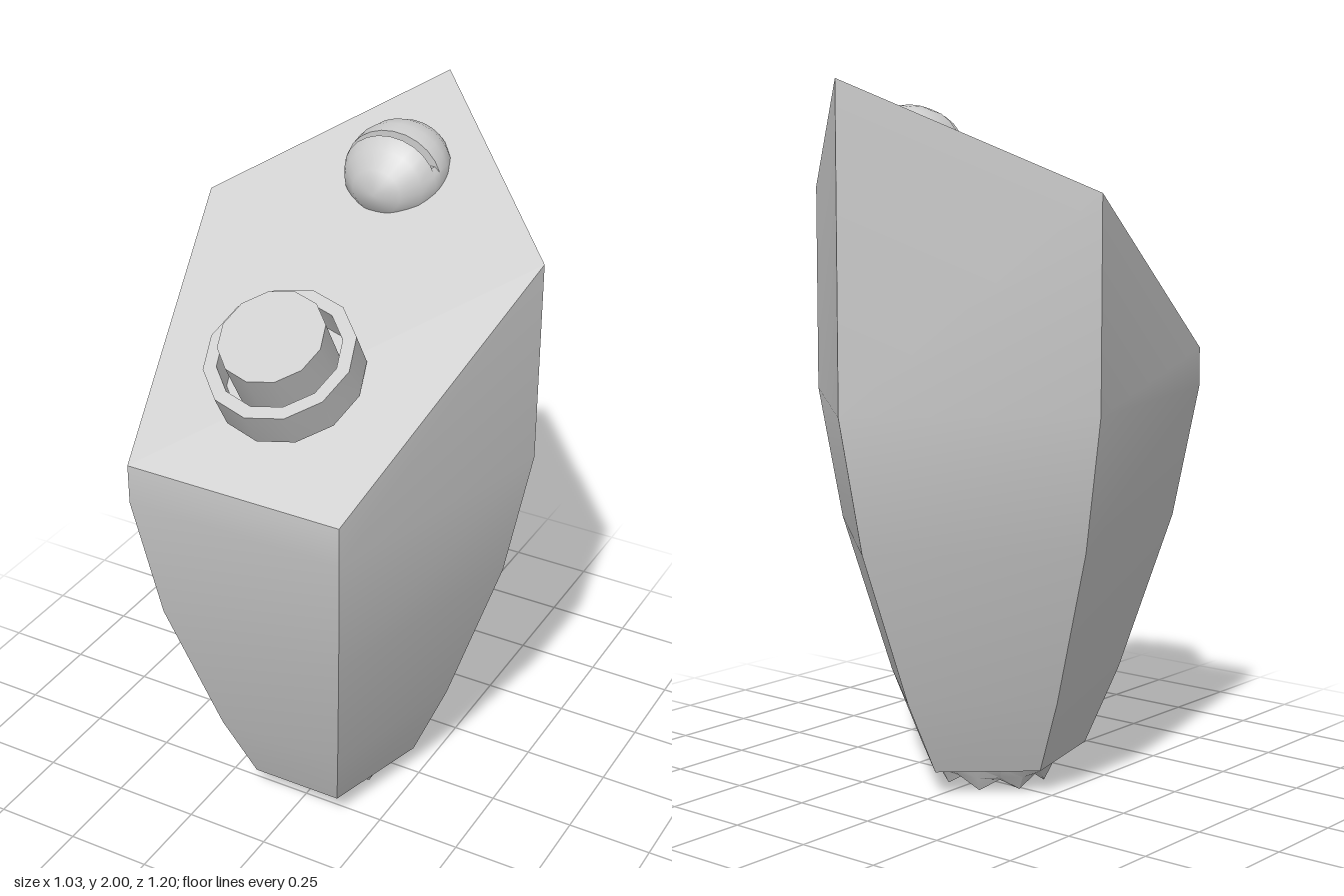
import * as THREE from 'three';
import { toCreasedNormals, mergeGeometries } from 'three/addons/utils/BufferGeometryUtils.js';

const material = new THREE.MeshStandardMaterial({ color: 0xcccccc, side: THREE.DoubleSide });

function part(name, geometry, parent) {
  const mesh = new THREE.Mesh(geometry, material);
  mesh.name = name;
  parent.add(mesh);
  return mesh;
}

const lathe = (points, segments, phi = 0) =>
  new THREE.LatheGeometry(points.map(p => new THREE.Vector2(...p)), segments, phi);

function meshFrom(points, index) {
  const g = new THREE.BufferGeometry();
  g.setAttribute('position', new THREE.Float32BufferAttribute(points.flat(), 3));
  g.setIndex(index);
  g.computeVertexNormals();
  return g;
}

// Tapering five-sided body with a sloped top
function bodyGeometry() {
  const corners = [[-0.33, 0.6], [0.31, 0.6], [0.515, -0.14], [0, -0.6], [-0.515, -0.14]];
  const levels = [[0.07, 0.43], [0.29, 0.6], [0.74, 0.87], [1.12, 1]]; // height, scale
  const midZ = 0.074;
  const columns = corners.map(([x, z]) => [
    ...levels.map(([y, s]) => [x * s, y, midZ + (z - midZ) * s]),
    [x, 1.6175 - 0.6375 * z, z],
  ]);
  const n = levels.length + 1;
  // each side is smooth along its height and sharp at its corners
  const pieces = columns.map((a, i) => {
    const b = columns[(i + 1) % 5];
    const index = [];
    for (let k = 0; k < n - 1; k++) index.push(k, n + k, n + k + 1, k, n + k + 1, k + 1);
    return meshFrom([...a, ...b], index);
  });
  pieces.push(meshFrom(columns.map(c => c[n - 1]), [0, 1, 2, 0, 2, 3, 0, 3, 4]));
  pieces.push(meshFrom(columns.map(c => c[0]), [0, 2, 1, 0, 3, 2, 0, 4, 3]));
  return mergeGeometries(pieces);
}

// Flattened dome, turned about z, with a flat-bottomed slot across it
function screwGeometry() {
  const slot = [0.18, 0.32];
  const ring = z => [Math.sqrt(Math.max(0, 1 - z * z)), z];
  const zs = [-1, -0.87, -0.66, -0.4, -0.1, 0.18, 0.18, 0.32, 0.32, 0.6, 0.87, 1];
  const g = lathe(zs.map(ring), 24).rotateX(Math.PI / 2);
  const p = g.attributes.position;
  for (let i = 0; i < p.count; i++) {
    const row = i % zs.length;
    const z = p.getZ(i) * 0.143;
    let y = p.getY(i) * 0.126 - 0.171 * z;
    if (row === 6 || row === 7) y = Math.min(y, 0.042);
    p.setXYZ(i, p.getX(i) * 0.15, y, z);
  }
  return toCreasedNormals(g, 0.65);
}

// Hollow ring whose lower rim is cut into eight teeth
function crownGeometry() {
  const g = lathe([[0.13, 0.075], [0.135, 0.03], [0.15, 0], [0.17, 0.04], [0.185, 0.075]], 16);
  const p = g.attributes.position;
  for (let i = 0; i < p.count; i++) {
    const segment = Math.floor(i / 5), row = i % 5;
    if (segment % 2 === 0 && row > 0 && row < 4) p.setY(i, row === 2 ? 0.033 : 0.045);
  }
  return toCreasedNormals(g, 0.6);
}

export function createModel() {
  const model = new THREE.Group();
  model.name = 'taperedCasing';

  part('body', bodyGeometry(), model);
  part('toothedTip', crownGeometry(), model).position.set(-0.003, 0, 0.045);
  part('slottedScrew', screwGeometry(), model).position.set(-0.008, 1.808, -0.303);

  // Button in a collar, leaning with the sloped top
  const button = new THREE.Group();
  button.name = 'button';
  button.position.set(-0.004, 1.4425, 0.2975);
  button.rotation.x = Math.PI / 6;
  const collar = lathe([[0, 0], [0.207, 0], [0.207, 0.113], [0.17, 0.113], [0.17, 0.02], [0, 0.02]], 12);
  part('buttonCollar', toCreasedNormals(collar, 0.7), button);
  const cap = lathe([[0.145, 0.02], [0.145, 0.19], [0, 0.19]], 12);
  part('buttonCap', toCreasedNormals(cap, 0.7), button);
  model.add(button);

  return model;
}
